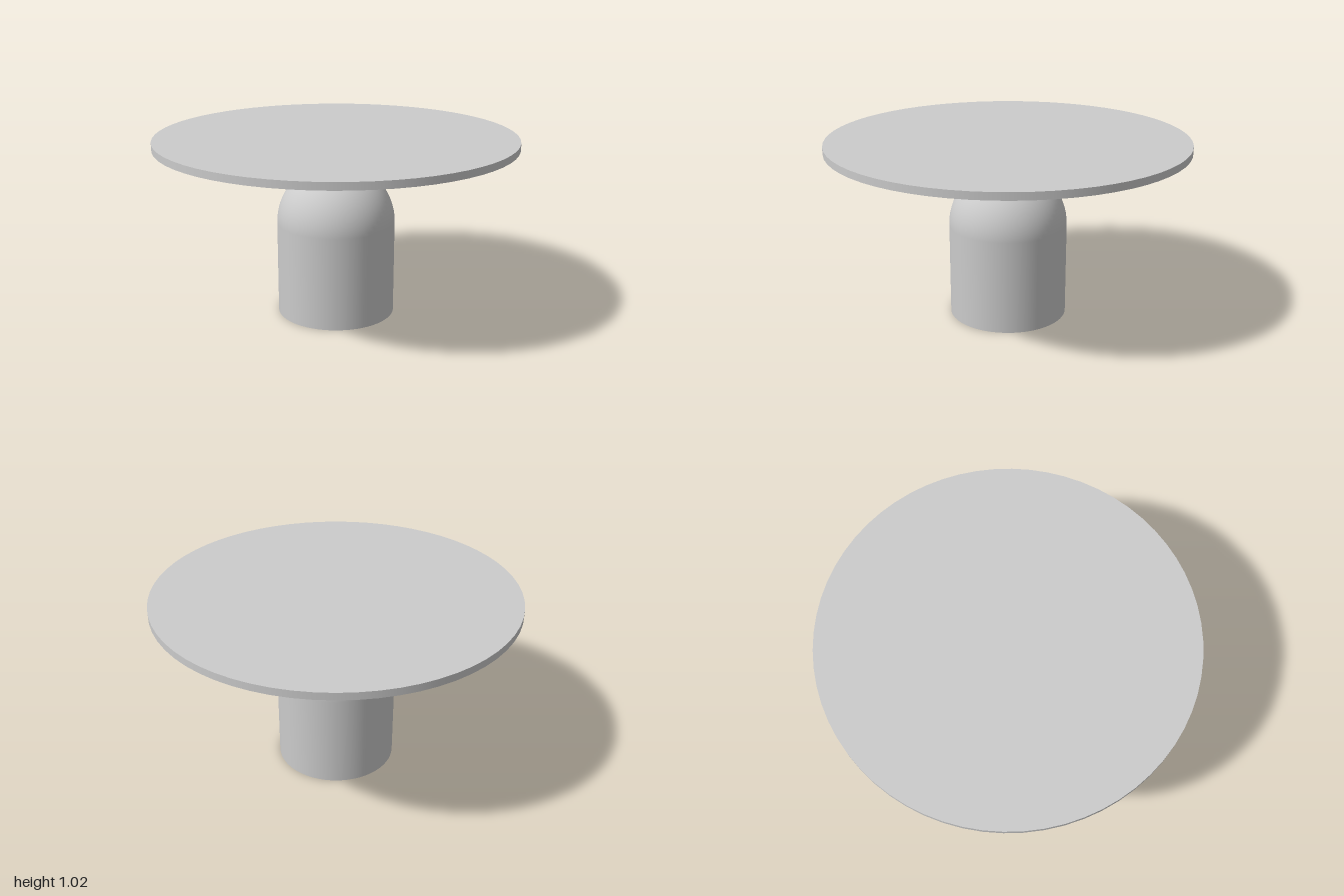
import * as THREE from 'three';

const R = 0.332;          // shared radius of the pedestal, its dome and the bowl
const SHOULDER = 0.527;   // height where the dome begins
const TOP_LOW = 0.98;     // underside of the tabletop
const TOP_HIGH = 1.02;

export function createModel() {
  const table = new THREE.Group();
  table.name = 'pedestalTable';
  const material = new THREE.MeshStandardMaterial({ color: 0xcccccc });

  const add = (name, geometry, y) => {
    const mesh = new THREE.Mesh(geometry, material);
    mesh.name = name;
    mesh.position.y = y;
    table.add(mesh);
  };

  // Pedestal: straight column with a flat foot and a domed head
  const pedestal = new THREE.Group();
  pedestal.name = 'pedestal';
  const column = new THREE.Mesh(new THREE.CylinderGeometry(R, R, SHOULDER, 64, 1, true), material);
  column.name = 'column';
  column.position.y = SHOULDER / 2;
  const dome = new THREE.Mesh(new THREE.SphereGeometry(R, 64, 24, 0, Math.PI * 2, 0, Math.PI / 2), material);
  dome.name = 'dome';
  dome.position.y = SHOULDER;
  const foot = new THREE.Mesh(new THREE.CircleGeometry(R, 64), material);
  foot.name = 'foot';
  foot.rotation.x = Math.PI / 2;
  pedestal.add(column, dome, foot);
  table.add(pedestal);

  // Shallow spherical bowl that rests on the dome and carries the top
  const bowlCentre = SHOULDER + 2 * R;
  const rimAngle = Math.acos((TOP_LOW - bowlCentre) / R);
  add('supportBowl', new THREE.SphereGeometry(R, 64, 16, 0, Math.PI * 2, rimAngle, Math.PI - rimAngle), bowlCentre);

  // Thin round tabletop
  add('tabletop', new THREE.CylinderGeometry(1, 1, TOP_HIGH - TOP_LOW, 64), (TOP_LOW + TOP_HIGH) / 2);

  return table;
}
